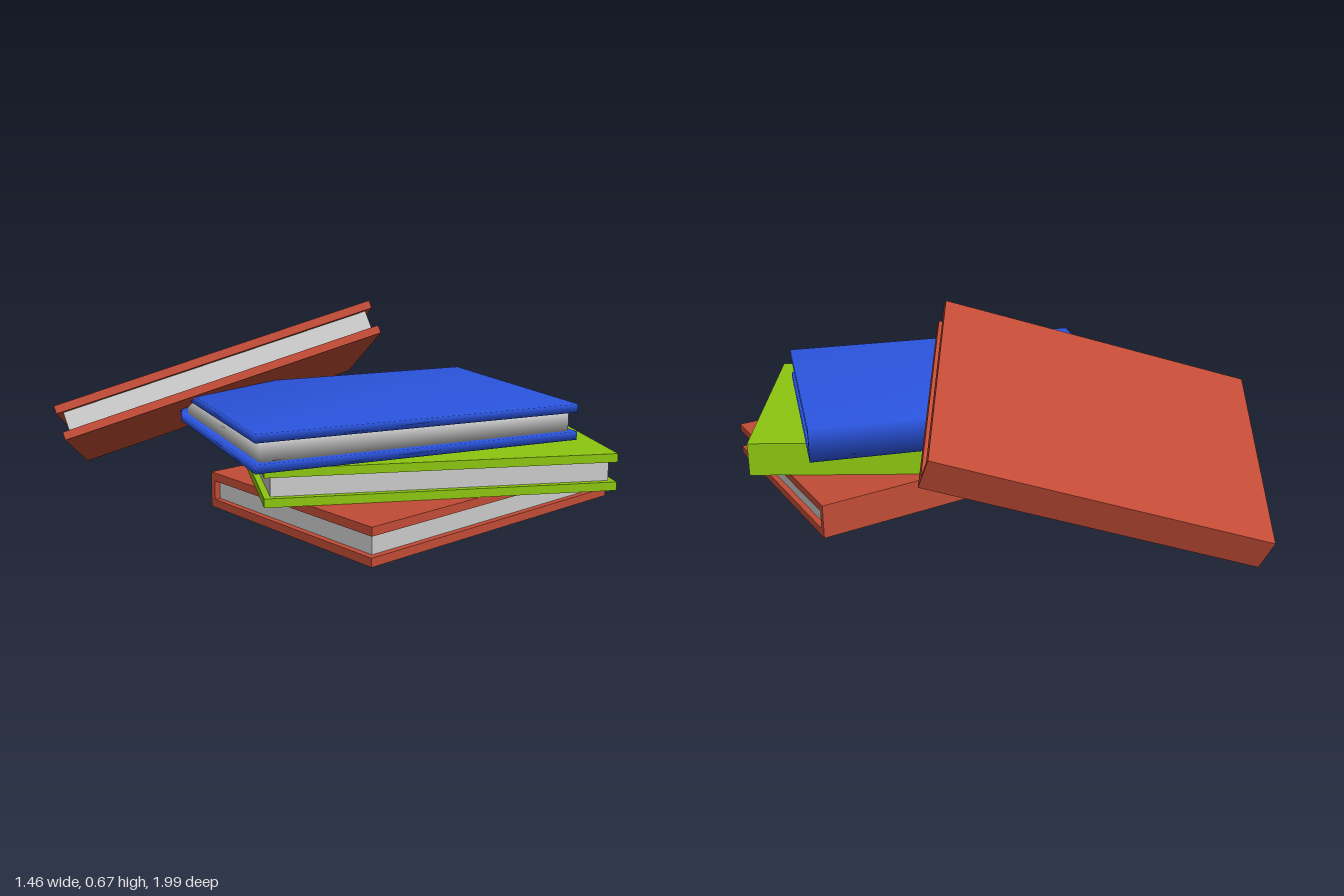
import * as THREE from 'three';
import { mergeVertices } from 'three/addons/utils/BufferGeometryUtils.js';

const LENGTH = 1.083, WIDTH = 0.762, THICK = 0.116;
const BOARD = 0.027, SPINE = 0.02, INSET = 0.02;

// Shares corner normals so the shading rolls softly over the edges
function soften(geometry) {
  geometry.deleteAttribute('normal');
  geometry.deleteAttribute('uv');
  const merged = mergeVertices(geometry, 1e-4);
  merged.computeVertexNormals();
  return merged;
}

// U-shaped section swept along the book's length, spine towards -z
function coverGeometry() {
  const w = WIDTH / 2, t = THICK / 2, inner = t - BOARD;
  const section = new THREE.Shape([
    [-w, -t], [w, -t], [w, t], [-w, t],
    [-w, inner], [w - SPINE, inner], [w - SPINE, -inner], [-w, -inner],
  ].map(([x, y]) => new THREE.Vector2(x, y)));
  return new THREE.ExtrudeGeometry(section, { depth: LENGTH, bevelEnabled: false })
    .translate(0, 0, -LENGTH / 2)
    .rotateY(Math.PI / 2);
}

// Page block fills the cover, set back from the three open edges
function pagesGeometry() {
  const depth = WIDTH - SPINE - INSET;
  return new THREE.BoxGeometry(LENGTH - 2 * INSET, THICK - 2 * BOARD, depth)
    .translate(0, 0, (SPINE - INSET) / 2);
}

function createBook({ name, color, position, yaw, tilt = 0, smooth = false }) {
  const book = new THREE.Group();
  book.name = name;
  const finish = (geometry) => (smooth ? soften(geometry) : geometry);

  const cover = new THREE.Mesh(finish(coverGeometry()), new THREE.MeshStandardMaterial({ color }));
  cover.name = 'cover';
  const pages = new THREE.Mesh(finish(pagesGeometry()), new THREE.MeshStandardMaterial({ color: 0xcccccc }));
  pages.name = 'pages';

  book.add(cover, pages);
  book.position.set(...position);
  book.rotation.set(tilt, yaw, 0); // yaw first, then lean about x
  return book;
}

export function createModel() {
  const model = new THREE.Group();
  model.name = 'bookPile';
  const red = 0xc24c36, green = 0x8cc610, blue = 0x2b55e0;

  [
    { name: 'bottomBook', color: red, position: [0.07, 0.078, 0.353], yaw: -0.181 },
    { name: 'middleBook', color: green, position: [0.071, 0.195, 0.353], yaw: -0.715 },
    { name: 'topBook', color: blue, position: [0.002, 0.315, 0.233], yaw: -0.49, smooth: true },
    { name: 'leaningBook', color: red, position: [-0.075, 0.339, -0.394], yaw: -0.714, tilt: -0.455 },
  ].forEach((spec) => model.add(createBook(spec)));

  return model;
}
